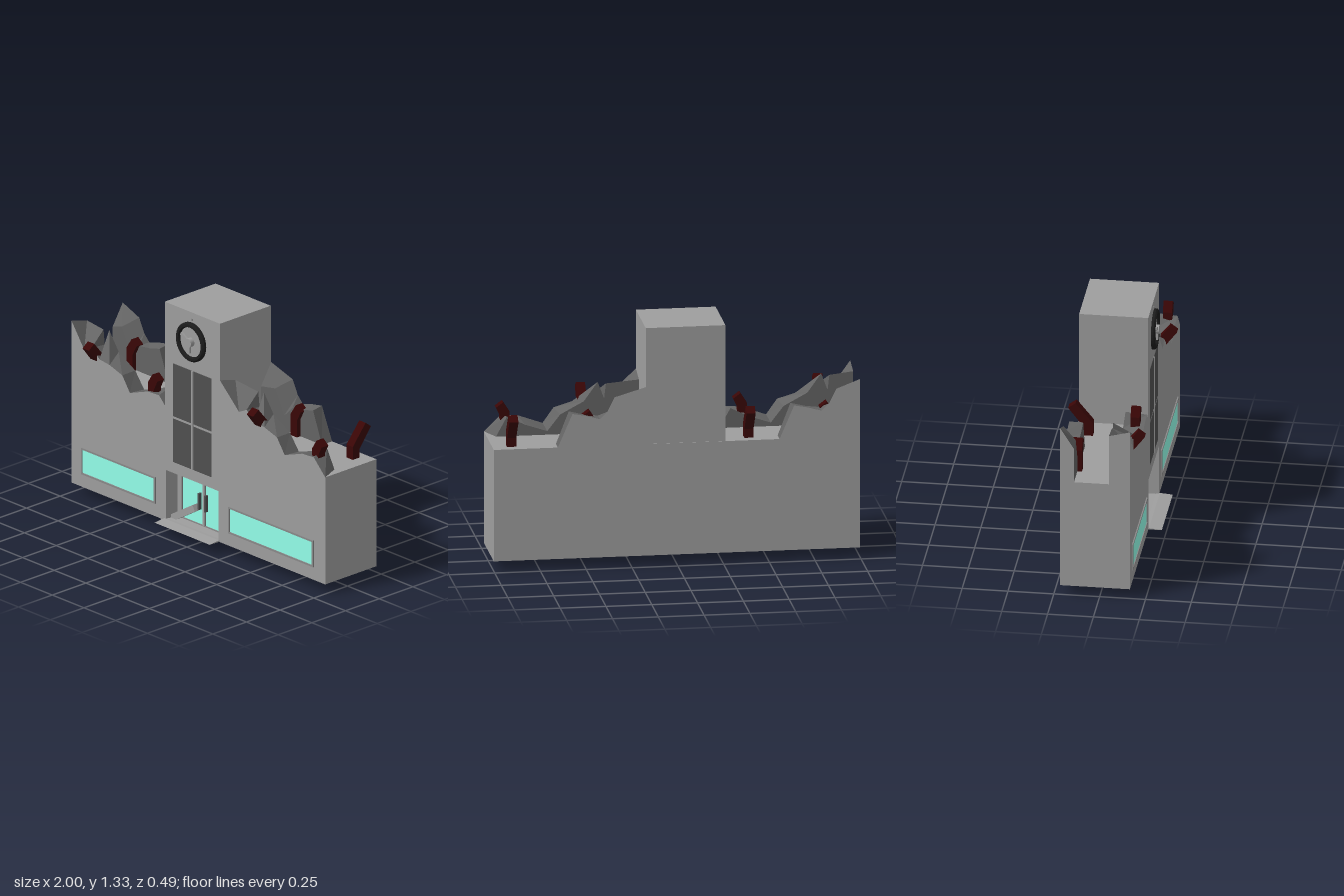
import * as THREE from 'three';

const mat = (color, extra = {}) => new THREE.MeshStandardMaterial({ color, flatShading: true, ...extra });
const grey = mat(0x9e9e9e);
const wallGrey = mat(0x9e9e9e, { side: THREE.DoubleSide });
const rubbleGrey = mat(0x646464, { side: THREE.DoubleSide });
const trim = mat(0x8a8a8a);
const dark = mat(0x505050);
const black = mat(0x1c1c1c, { side: THREE.DoubleSide });
const glass = mat(0x93ffea);
const rust = mat(0x3a0606);

const FRONT = 0.165, BACK = -0.215, BASE = 0.055, ROOF = 0.68;

export function createModel() {
  const model = new THREE.Group();

  const add = (name, geometry, material, parent = model) => {
    const mesh = new THREE.Mesh(geometry, material);
    mesh.name = name;
    parent.add(mesh);
    return mesh;
  };

  // Box given by its limits on each axis
  const box = (name, x0, x1, y0, y1, z0, z1, material = grey, parent = model) => {
    const mesh = add(name, new THREE.BoxGeometry(x1 - x0, y1 - y0, z1 - z0), material, parent);
    mesh.position.set((x0 + x1) / 2, (y0 + y1) / 2, (z0 + z1) / 2);
  };

  // Flat outline pushed along z
  const extrude = (points, depth, holes = []) => {
    const vectors = list => list.map(p => new THREE.Vector2(...p));
    const shape = new THREE.Shape(vectors(points));
    shape.holes = holes.map(h => new THREE.Path(vectors(h)));
    return new THREE.ExtrudeGeometry(shape, { depth, bevelEnabled: false });
  };

  // Rectangular border
  const border = (name, x0, x1, y0, y1, t, z, depth) => {
    const rect = i => [[x0 + i, y0 + i], [x1 - i, y0 + i], [x1 - i, y1 - i], [x0 + i, y1 - i]];
    add(name, extrude(rect(0), depth, [rect(t)]), trim).position.z = z;
  };

  // Main block, with the front layer left open at the entrance
  const DOOR = { x0: -0.255, x1: 0.16, y1: 0.35, z: 0.08 };
  box('mainBlock', -1, 1, BASE, ROOF, BACK, DOOR.z);
  add('frontWall', extrude([
    [-1, BASE], [DOOR.x0, BASE], [DOOR.x0, DOOR.y1], [DOOR.x1, DOOR.y1],
    [DOOR.x1, BASE], [1, BASE], [1, ROOF], [-1, ROOF],
  ], FRONT - DOOR.z), grey).position.z = DOOR.z;
  box('doorwayFloor', DOOR.x0, DOOR.x1, BASE, BASE + 0.008, DOOR.z, FRONT);
  box('tower', -0.265, 0.17, ROOF, 1.33, -0.212, FRONT);

  // Broken wall tops: a clean outer face, with a dark jagged top and inner face
  const brokenWall = (name, outer, inner, zOuter, zInner, shift, startX) => {
    const place = list => list.map(([x, y], i) => [i ? x + shift : startX, y]);
    const o = place(outer), n = place(inner), face = [], rubble = [];
    const ring = i => [
      [o[i][0], ROOF, zOuter], [...o[i], zOuter], [...n[i], zInner], [n[i][0], ROOF, zInner],
    ];
    // Reverse the corner order for walls whose outer face looks backward
    const quad = (target, ...corners) => {
      const [a, b, c, d] = zOuter > zInner ? corners.reverse() : corners;
      target.push(...a, ...b, ...c, ...a, ...c, ...d);
    };
    for (let i = 0; i < o.length - 1; i++) {
      const a = ring(i), b = ring(i + 1);
      for (let k = 0; k < 3; k++) quad(k ? rubble : face, a[k], a[k + 1], b[k + 1], b[k]);
    }
    quad(face, ...ring(0).reverse());
    quad(rubble, ...ring(o.length - 1));
    for (const [part, pos, material] of [['Face', face, wallGrey], ['Rubble', rubble, rubbleGrey]]) {
      const g = new THREE.BufferGeometry();
      g.setAttribute('position', new THREE.Float32BufferAttribute(pos, 3));
      g.computeVertexNormals();
      add(name + part, g, material);
    }
  };
  const frontOuter = [[-1, 1], [-0.9, 0.86], [-0.84, 0.89], [-0.78, 0.84], [-0.7, 0.83], [-0.6, 0.8],
    [-0.54, 0.715], [-0.4, 0.765], [-0.31, 0.77], [-0.22, 0.68]];
  const frontInner = [[-1, 0.97], [-0.87, 0.955], [-0.86, 0.87], [-0.825, 0.965], [-0.75, 0.86], [-0.62, 0.79],
    [-0.55, 0.7], [-0.43, 0.74], [-0.33, 0.79], [-0.27, 0.68]];
  const backInner = [[-1, 0.88], [-0.93, 0.9], [-0.86, 0.76], [-0.79, 0.83], [-0.71, 0.84], [-0.63, 0.86], [-0.56, 0.68]];
  const backOuter = [[-1, 1], [-0.87, 0.95], [-0.83, 0.87], [-0.79, 0.83], [-0.72, 0.85], [-0.64, 0.865], [-0.56, 0.68]];
  for (const [side, shift, startX] of [['right', 0, -1], ['left', 1.22, 0.17]]) {
    brokenWall(side + 'FrontWall', frontOuter, frontInner, FRONT, 0.05, shift, startX);
    brokenWall(side + 'BackWall', backOuter, backInner, BACK, -0.14, shift * 0.992, startX);
  }

  // Bent girders: an upright foot and a leaning end, turned to face a direction
  const girder = (x, y, z, foot, lean, rise, turn) => {
    const w = 0.025;
    const g = extrude([
      [-w, 0], [w, 0], [w, foot - 0.01], [lean + 0.02, foot + rise - 0.03],
      [lean - 0.02, foot + rise], [-w, foot + 0.015],
    ], 0.05);
    g.translate(0, 0, -0.025);
    const mesh = add('bentGirder', g, rust);
    mesh.position.set(x, y, z);
    mesh.rotation.y = turn;
  };
  const OUT = -Math.PI / 2;
  for (const shift of [0, 1.295]) {
    girder(-0.825 + shift, 0.74, 0.115, 0.06, 0.09, 0.13, OUT);
    girder(-0.4 + shift, 0.68, -0.14, 0.06, 0.09, 0.13, -OUT);
    girder(-0.4 + shift, 0.74, 0.115, 0.05, 0.03, 0.07, 0);
    girder(-0.84 + shift, 0.68, -0.14, 0.11, 0.035, 0.075, 0);
  }

  // Long windows with frames
  for (const [x0, x1] of [[-0.92, -0.335], [0.24, 0.91]]) {
    box('windowGlass', x0 + 0.005, x1 - 0.005, 0.135, 0.28, 0.15, FRONT + 0.002, glass);
    border('windowFrame', x0, x1, 0.13, 0.285, 0.01, FRONT - 0.005, 0.012);
  }

  // Tall tower panels
  for (const [x0, x1] of [[-0.2, -0.055], [-0.038, 0.105]])
    for (const [y0, y1] of [[0.415, 0.668], [0.682, 0.99]])
      box('towerPanel', x0, x1, y0, y1, 0.15, FRONT + 0.002, dark);
  box('towerMullion', -0.053, -0.04, 0.415, 0.99, 0.15, FRONT + 0.005);

  // Entrance doors
  for (const [x0, x1, handleX] of [[-0.21, -0.043, -0.06], [-0.027, 0.125, -0.01]]) {
    box('doorGlass', x0, x1, BASE + 0.012, 0.342, DOOR.z - 0.01, DOOR.z + 0.004, glass);
    border('doorFrame', x0 - 0.005, x1 + 0.005, BASE + 0.008, 0.347, 0.006, DOOR.z, 0.01);
    box('doorHandle', handleX - 0.006, handleX + 0.006, 0.16, 0.255, DOOR.z + 0.01, DOOR.z + 0.03, dark);
  }
  box('doorPost', -0.042, -0.028, BASE, 0.345, DOOR.z, DOOR.z + 0.014);

  // Fallen plank in the doorway
  const plank = add('fallenPlank', new THREE.BoxGeometry(0.295, 0.038, 0.04), grey);
  plank.position.set(-0.2, 0.093, 0.11);
  plank.rotation.z = 0.55;

  // Thin entrance step, tapering toward its edge
  const step = add('entranceStep',
    extrude([[0.15, 0.056], [0.24, 0.06], [0.17, 0.066], [0.15, 0.065]], 0.435), grey);
  step.rotation.y = -Math.PI / 2;
  step.position.x = 0.168;

  // Clock: rim, face, hub and hands
  const clock = new THREE.Group();
  clock.name = 'clock';
  clock.position.set(-0.05, 1.16, FRONT);
  model.add(clock);
  const disc = (name, r, depth) => {
    const g = new THREE.CylinderGeometry(r, r, depth, 32);
    g.rotateX(Math.PI / 2);
    add(name, g, grey, clock).position.z = depth / 2;
  };
  const rim = [[0.085, 0], [0.112, 0], [0.112, 0.014], [0.104, 0.022], [0.09, 0.022], [0.085, 0.014], [0.085, 0]]
    .map(p => new THREE.Vector2(...p));
  const rimGeometry = new THREE.LatheGeometry(rim, 40);
  rimGeometry.rotateX(Math.PI / 2);
  add('clockRim', rimGeometry, black, clock);
  disc('clockFace', 0.086, 0.006);
  disc('clockHub', 0.025, 0.032);
  for (const [angle, length] of [[1.05, 0.075], [3.1, 0.06]]) {
    const g = new THREE.BoxGeometry(0.018, length, 0.012);
    g.translate(0, length / 2, 0.02);
    add('clockHand', g, grey, clock).rotation.z = angle;
  }
  box('clockMarker', -0.006, 0.006, 0.122, 0.134, 0, 0.003, trim, clock);

  return model;
}
